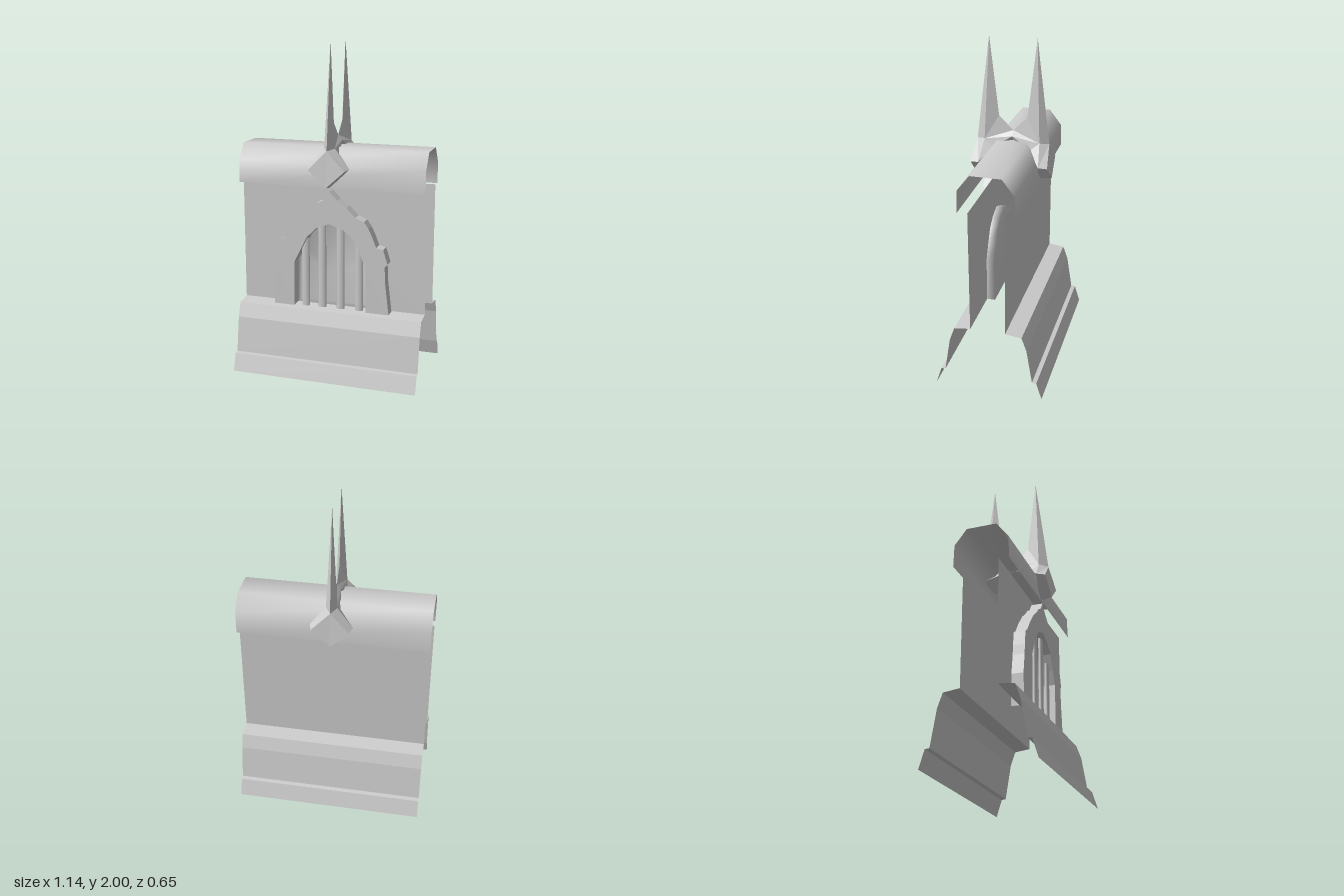
import * as THREE from 'three';

const HALF = 0.57; // half length of the wall segment

const stone = new THREE.MeshStandardMaterial({ color: 0xcccccc, side: THREE.DoubleSide });
stone.name = 'grey stone';

function add(parent, name, geometry) {
  const mesh = new THREE.Mesh(geometry, stone);
  mesh.name = name;
  parent.add(mesh);
  return mesh;
}

// Sweep a [z, y] profile along x as an open sheet
function sweep(profile, smooth) {
  const pos = [], idx = [];
  for (const [z, y] of profile) pos.push(HALF, y, z, -HALF, y, z);
  for (let i = 0; i < profile.length - 1; i++) {
    const a = i * 2;
    idx.push(a, a + 2, a + 1, a + 1, a + 2, a + 3);
  }
  let g = new THREE.BufferGeometry();
  g.setAttribute('position', new THREE.Float32BufferAttribute(pos, 3));
  g.setIndex(idx);
  if (!smooth) g = g.toNonIndexed();
  g.computeVertexNormals();
  return g;
}

const points = list => list.map(([x, y]) => new THREE.Vector2(x, y));

// Pointed opening and the rough stone surround
const opening = points([
  [-0.225, 0.415], [-0.22, 0.69], [-0.19, 0.75], [-0.14, 0.85], [-0.08, 0.91], [0, 0.94],
  [0.085, 0.91], [0.145, 0.86], [0.19, 0.77], [0.225, 0.69], [0.225, 0.415],
]);
const surround = points([
  [-0.35, 0.415], [-0.357, 0.55], [-0.337, 0.67], [-0.332, 0.73], [-0.32, 0.815], [-0.288, 0.837],
  [-0.24, 0.905], [-0.172, 0.98], [-0.113, 1.025], [-0.08, 1.06], [-0.04, 1.08], [0, 1.135],
  [0.05, 1.085], [0.105, 1.045], [0.16, 0.99], [0.213, 0.97], [0.24, 0.93], [0.262, 0.885],
  [0.288, 0.82], [0.33, 0.81], [0.357, 0.725], [0.34, 0.705], [0.345, 0.6], [0.367, 0.415],
]);

// Shallow recess with soft shading from the rim to the back panel
function nicheGeometry() {
  const pos = [], idx = [], n = opening.length;
  for (const z of [0.105, 0.055]) for (const p of opening) pos.push(p.x, p.y, z);
  pos.push(0, 0.62, 0.055);
  for (let i = 0; i < n; i++) {
    const j = (i + 1) % n;
    if (j) idx.push(i, i + n, j, j, i + n, j + n);
    idx.push(i + n, 2 * n, j + n);
  }
  const g = new THREE.BufferGeometry();
  g.setAttribute('position', new THREE.Float32BufferAttribute(pos, 3));
  g.setIndex(idx);
  g.computeVertexNormals();
  return g;
}

// One half of the faceted ridge ornament: spike, diamond boss and link to the centre
function finialGeometry() {
  const v = {
    tip: [0, 2, 0.14], front: [0, 1.38, 0.217], side: [0.033, 1.39, 0.165], back: [0, 1.53, 0.085],
    linkTop: [0, 1.445, 0], linkSide: [0.024, 1.415, 0], linkLow: [0, 1.385, 0],
    mid: [0.045, 1.345, 0.11], corner: [0.125, 1.275, 0.18], faceCorner: [0.11, 1.268, 0.23],
    faceLow: [0, 1.168, 0.235], low: [0, 1.155, 0.155], under: [0, 1.27, 0.18],
  };
  const faces = [
    'tip front side', 'tip side back', 'front corner side', 'front faceCorner corner',
    'front faceLow faceCorner', 'faceCorner low corner', 'faceCorner faceLow low',
    'side corner mid', 'side mid linkSide', 'side linkSide linkTop', 'side linkTop back',
    'linkSide mid linkLow', 'mid corner under', 'mid under linkLow', 'corner low under',
  ];
  const pos = [];
  for (const m of [1, -1]) {
    for (const f of faces) {
      const [a, b, c] = f.split(' ').map(k => v[k]);
      // reverse the corners on the mirrored side
      for (const p of m > 0 ? [a, c, b] : [a, b, c]) pos.push(p[0] * m, p[1], p[2]);
    }
  }
  const g = new THREE.BufferGeometry();
  g.setAttribute('position', new THREE.Float32BufferAttribute(pos, 3));
  g.computeVertexNormals();
  return g;
}

export function createModel() {
  const model = new THREE.Group();
  model.name = 'gothicWall';

  // Stepped plinths, front and back
  const plinth = sweep([
    [0.325, 0], [0.292, 0.105], [0.266, 0.108], [0.232, 0.32], [0.202, 0.405], [0.105, 0.417],
  ], false);
  add(model, 'frontPlinth', plinth);
  add(model, 'backPlinth', plinth).rotation.y = Math.PI;

  // Front wall pierced by the opening, plain back wall
  const wall = new THREE.Shape(points([[-HALF, 0.415], [HALF, 0.415], [HALF, 1.16], [-HALF, 1.16]]));
  const pierced = new THREE.Shape([
    new THREE.Vector2(-HALF, 0.415), ...opening,
    ...points([[HALF, 0.415], [HALF, 1.16], [-HALF, 1.16]]),
  ]);
  add(model, 'frontWall', new THREE.ShapeGeometry(pierced)).position.z = 0.105;
  const backWall = add(model, 'backWall', new THREE.ShapeGeometry(wall));
  backWall.position.z = -0.105;
  backWall.rotation.y = Math.PI;

  // Rounded coping, open underneath
  const half = [[0.167, 1.155], [0.163, 1.29], [0.09, 1.385]];
  const mirrored = half.map(([z, y]) => [-z, y]).reverse();
  add(model, 'coping', sweep([...half, ...mirrored], true));

  // Window: stone surround, recess and bars
  const windowGroup = new THREE.Group();
  windowGroup.name = 'window';
  const frame = new THREE.Shape([...surround, ...[...opening].reverse()]);
  add(windowGroup, 'archSurround',
    new THREE.ExtrudeGeometry(frame, { depth: 0.07, bevelEnabled: false })).position.z = 0.105;
  add(windowGroup, 'niche', nicheGeometry());
  for (const [x, top] of [[-0.16, 0.83], [-0.055, 0.94], [0.06, 0.94], [0.175, 0.81]]) {
    const bar = add(windowGroup, 'windowBar', new THREE.CylinderGeometry(0.025, 0.025, top - 0.4, 8));
    bar.scale.z = 0.5;
    bar.position.set(x, (top + 0.4) / 2, 0.14);
  }
  model.add(windowGroup);

  // Twin-spiked ornament straddling the coping
  const finial = finialGeometry();
  add(model, 'frontSpike', finial);
  add(model, 'backSpike', finial).rotation.y = Math.PI;

  return model;
}
